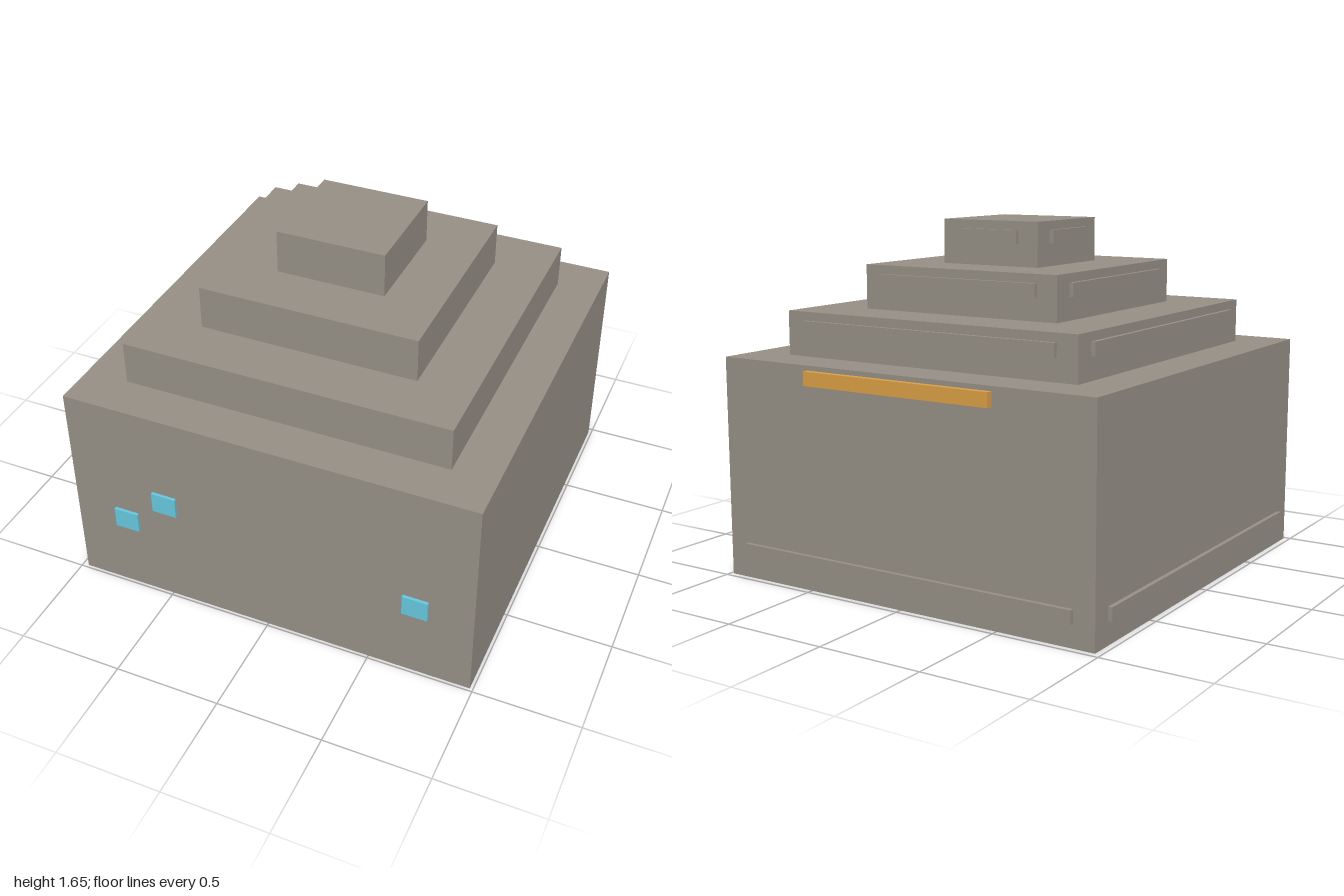
import * as THREE from 'three';

export function createModel() {
  const model = new THREE.Group();
  const stone = new THREE.MeshStandardMaterial({ color: 0x968f86 });
  const gold = new THREE.MeshStandardMaterial({ color: 0xdc9f45 });
  const glass = new THREE.MeshStandardMaterial({ color: 0x66c8de });

  // Box given by its lower and upper corners
  function box(name, material, [x0, y0, z0], [x1, y1, z1]) {
    const mesh = new THREE.Mesh(new THREE.BoxGeometry(x1 - x0, y1 - y0, z1 - z0), material);
    mesh.position.set((x0 + x1) / 2, (y0 + y1) / 2, (z0 + z1) / 2);
    mesh.name = name;
    model.add(mesh);
  }

  // Square tiers, each with a trim ledge on the back and on the -x side
  const c = 0.0075; // tier centre in x and z
  const out = 0.02; // how far a ledge stands out
  const tiers = [
    { name: 'base', half: 0.978, y0: 0, y1: 1.032 },
    { name: 'lowerStep', half: 0.772, y0: 1.032, y1: 1.238 },
    { name: 'middleStep', half: 0.516, y0: 1.238, y1: 1.444 },
    { name: 'topStep', half: 0.257, y0: 1.444, y1: 1.65 },
  ];
  for (const { name, half, y0, y1 } of tiers) {
    const lo = c - half, hi = c + half;
    const a = lo + 0.102, b = hi - 0.102;
    const l0 = y0 + 0.104, l1 = y0 + 0.166;
    box(name, stone, [lo, y0, lo], [hi, y1, hi]);
    box(name + 'BackLedge', stone, [a, l0, lo - out], [b, l1, lo]);
    box(name + 'SideLedge', stone, [lo - out, l0, a], [lo, l1, b]);
  }

  // Gold lintel high on the back of the base
  box('lintel', gold, [-0.48, 0.945, -1], [0.495, 1.01, c - 0.978]);

  // Small windows on the front
  for (const [x, y] of [[-0.705, 0.4], [-0.498, 0.562], [0.718, 0.4]]) {
    box('window', glass, [x - 0.06, y - 0.051, 0.98], [x + 0.06, y + 0.051, 1]);
  }

  return model;
}
